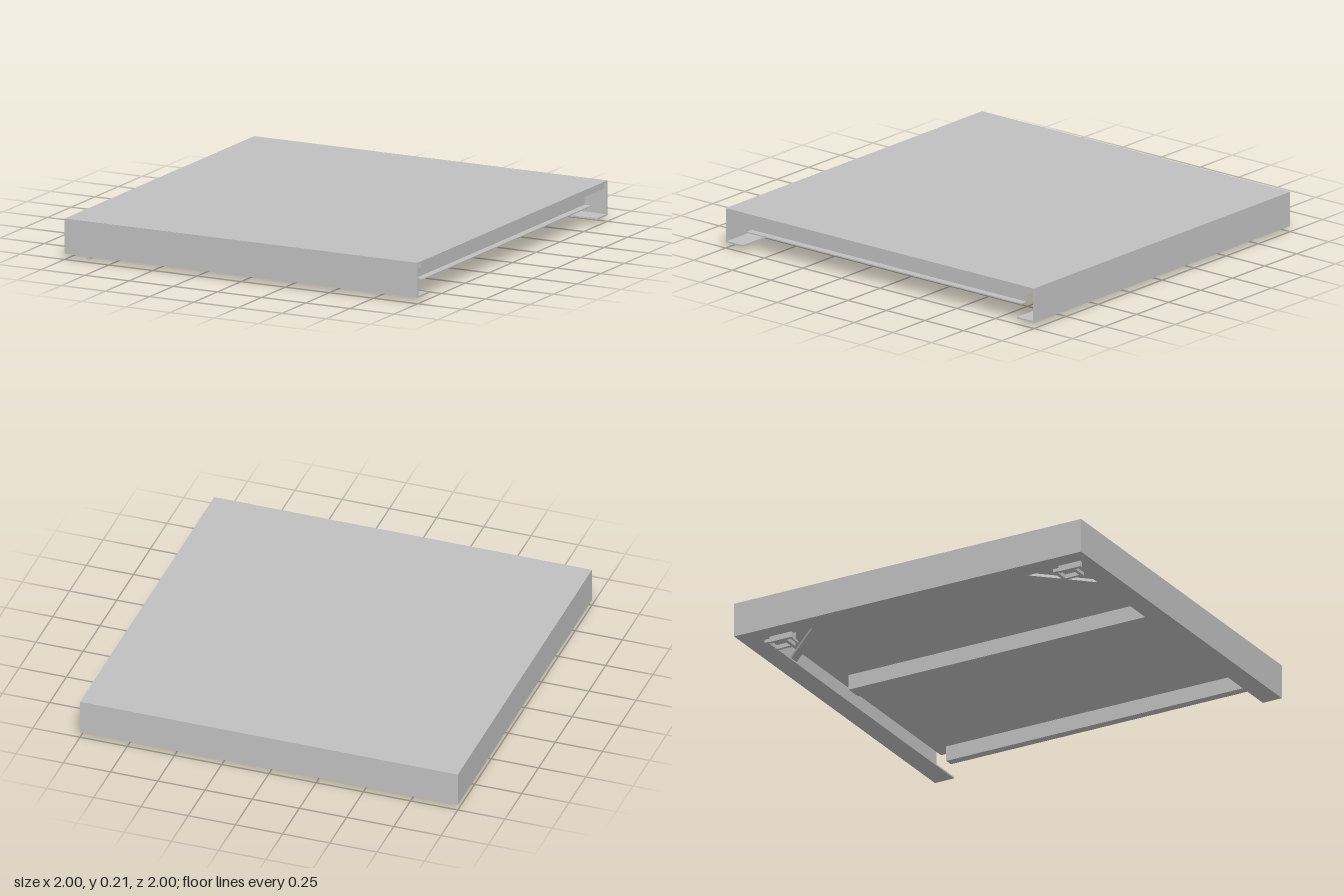
import * as THREE from 'three';

export function createModel() {
  const model = new THREE.Group();
  const steel = new THREE.MeshStandardMaterial({ color: 0xc0c0c0 });
  steel.name = 'plainSteelGrey';

  // Box given by its minimum and maximum corners
  function slab(name, x0, x1, y0, y1, z0, z1) {
    const mesh = new THREE.Mesh(new THREE.BoxGeometry(x1 - x0, y1 - y0, z1 - z0), steel);
    mesh.position.set((x0 + x1) / 2, (y0 + y1) / 2, (z0 + z1) / 2);
    mesh.name = name;
    model.add(mesh);
    return mesh;
  }
  // Same, mirrored to the back when s is -1
  const mirrored = (name, s, x0, x1, y0, y1, z0, z1) =>
    slab(name, x0, x1, y0, y1, s > 0 ? z0 : -z1, s > 0 ? z1 : -z0);

  const T = 0.008;

  // Deck: top sheet with the thicker panel under it
  slab('topSheet', -1, 1, 0.202, 0.21, -1, 1);
  slab('deckPanel', -0.965, 1, 0.175, 0.202, -0.965, 0.965);

  // Closed side wall with its inward bottom flange
  slab('sideWall', -1, -1 + T, 0.03, 0.202, -1, 1);
  slab('sideFlange', -1 + T, -0.89, 0.03, 0.03 + T, -1 + T, 1 - T);

  // Open-end channel: web and outward ledge
  slab('endChannelWeb', 0.922, 0.93, 0.095, 0.175, -0.89, 0.89);
  slab('endChannelLedge', 0.93, 0.968, 0.095, 0.101, -0.89, 0.89);

  // Middle stiffener
  slab('middleBeam', -0.05, 0.04, 0.095, 0.175, -0.89, 0.89);

  // Hollow square foot, seen as a ring from below
  const ring = new THREE.Shape();
  ring.moveTo(-0.055, -0.058).lineTo(0.055, -0.058).lineTo(0.055, 0.058).lineTo(-0.055, 0.058).closePath();
  const hole = new THREE.Path();
  hole.moveTo(-0.038, -0.04).lineTo(-0.038, 0.04).lineTo(0.038, 0.04).lineTo(0.038, -0.04).closePath();
  ring.holes.push(hole);
  const footGeometry = new THREE.ExtrudeGeometry(ring, { depth: 0.022, bevelEnabled: false });
  footGeometry.rotateX(-Math.PI / 2);

  for (const s of [1, -1]) {
    // Long walls and flanges
    mirrored('longWall', s, -1 + T, 1, 0.03, 0.202, 1 - T, 1);
    mirrored('longFlange', s, -1 + T, 1, 0.03, 0.03 + T, 0.89, 1 - T);

    // Corner post under a square mounting plate
    mirrored('mountingPlate', s, -0.89, -0.65, 0.169, 0.175, 0.64, 0.89);
    mirrored('cornerPost', s, -0.89, -0.775, 0.04, 0.169, 0.775, 0.89);
    mirrored('postCollar', s, -0.9, -0.765, 0.035, 0.045, 0.765, 0.9);

    // Diagonal brace across the corner
    const dx = 0.297, dz = 0.316;
    const brace = new THREE.Mesh(new THREE.BoxGeometry(Math.hypot(dx, dz) + 0.05, 0.015, 0.04), steel);
    brace.name = 'cornerBrace';
    brace.position.set(-0.742, 0.046, s * 0.732);
    brace.rotation.y = -s * Math.atan2(dz, dx);
    model.add(brace);

    // Foot ring
    const foot = new THREE.Mesh(footGeometry, steel);
    foot.name = 'footRing';
    foot.position.set(-0.835, 0.013, s * 0.832);
    model.add(foot);
    // Upright tab; both tabs are offset the same way along z
    const z = s > 0 ? 0.88 : -0.785;
    slab('footTab', -0.91, -0.89, 0, 0.035, z - 0.063, z + 0.063);
  }
  return model;
}
